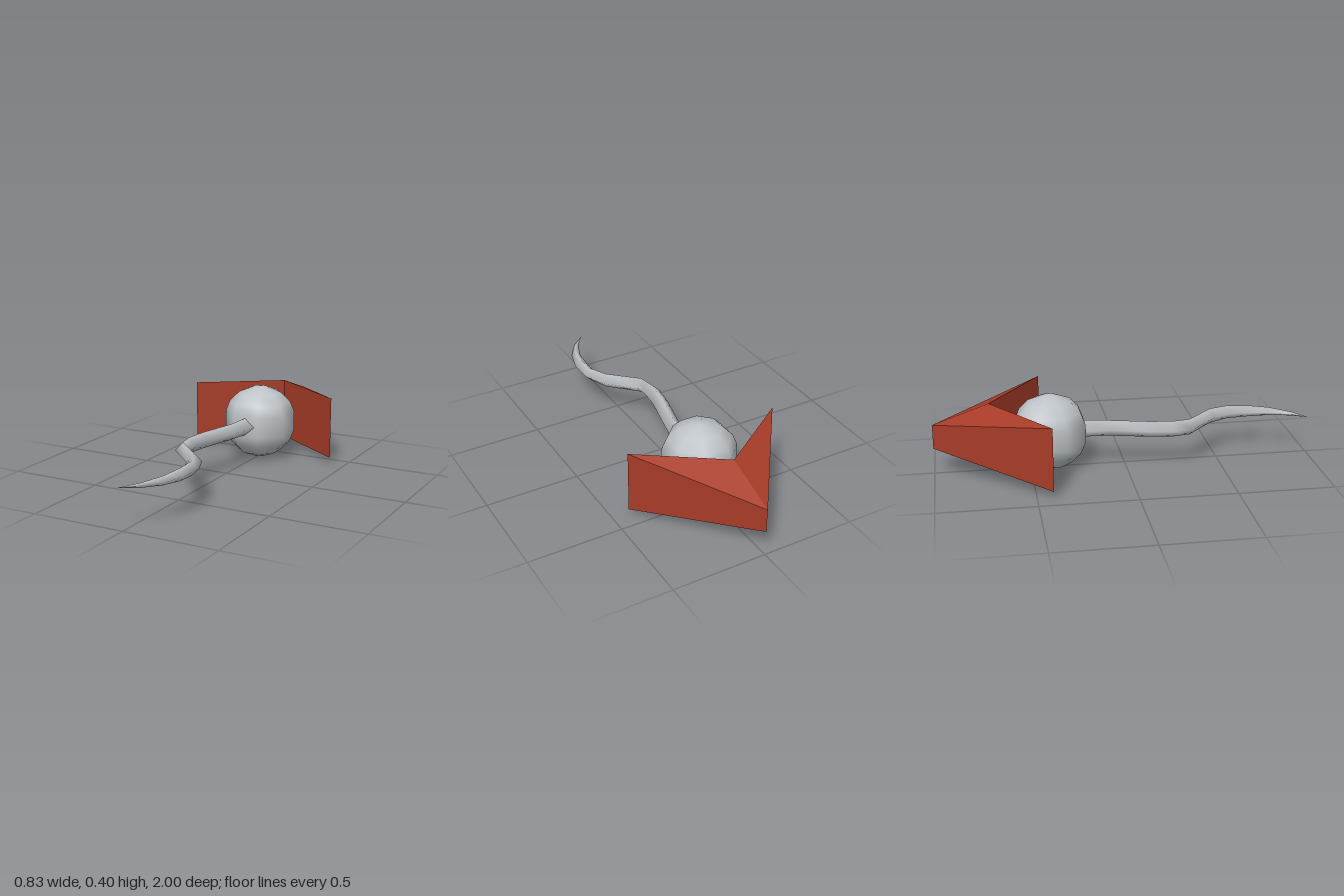
import * as THREE from 'three';

function indexedGeometry(positions, indices) {
  const g = new THREE.BufferGeometry();
  g.setAttribute('position', new THREE.Float32BufferAttribute(positions, 3));
  g.setIndex(indices);
  g.computeVertexNormals();
  return g;
}

// Eight-sided rounded head
function headGeometry() {
  const profile = [
    [0, 0.002], [0.039, 0.006], [0.115, 0.036], [0.166, 0.088], [0.19, 0.148],
    [0.191, 0.258], [0.167, 0.315], [0.116, 0.366], [0.039, 0.397], [0, 0.402],
  ].map(([r, y]) => new THREE.Vector2(r, y));
  return new THREE.LatheGeometry(profile, 8).rotateY(Math.PI / 8).translate(0, 0, -0.393);
}

// Tapering tail with a diamond section; each ring: left x, z, right x, z, half height
function tailGeometry() {
  const rings = [
    [-0.08, -0.3, 0.08, -0.3, 0.055],
    [-0.058, -0.215, 0.052, -0.215, 0.047],
    [-0.06, -0.09, 0.02, -0.075, 0.043],
    [-0.11, 0.11, -0.03, 0.14, 0.043],
    [-0.13, 0.245, -0.04, 0.245, 0.043],
    [-0.105, 0.355, -0.03, 0.32, 0.043],
    [0.05, 0.505, 0.11, 0.455, 0.041],
    [0.09, 0.6, 0.16, 0.57, 0.037],
    [0.09, 0.69, 0.16, 0.7, 0.032],
    [0.08, 0.8, 0.127, 0.82, 0.023],
    [0.04, 0.91, 0.06, 0.925, 0.012],
    [-0.025, 1, -0.025, 1, 0],
  ];
  const y = 0.207, pos = [], idx = [];
  rings.forEach(([lx, lz, rx, rz, h], i) => {
    const cx = (lx + rx) / 2, cz = (lz + rz) / 2;
    pos.push(lx, y, lz, cx, y + h, cz, rx, y, rz, cx, y - h, cz);
    if (i === 0) return;
    for (let j = 0; j < 4; j++) {
      const a = (i - 1) * 4 + j, b = (i - 1) * 4 + (j + 1) % 4;
      idx.push(a, a + 4, b, b, a + 4, b + 4);
    }
  });
  return indexedGeometry(pos, idx);
}

// Chevron shield, thinner at its rear point
function shieldGeometry() {
  const outline = [[-0.417, -0.417], [0, -0.707], [0.417, -0.417], [0, -1]];
  const bottom = [0.037, 0.037, 0.037, 0.139], top = [0.37, 0.37, 0.37, 0.268];
  const pos = [], idx = [];
  for (const level of [bottom, top]) outline.forEach(([x, z], i) => pos.push(x, level[i], z));
  for (let i = 0; i < 4; i++) {
    const j = (i + 1) % 4;
    idx.push(i, j, j + 4, i, j + 4, i + 4);
  }
  idx.push(4, 5, 7, 5, 6, 7, 0, 3, 1, 1, 3, 2);
  const g = indexedGeometry(pos, idx).toNonIndexed();
  g.computeVertexNormals();
  return g;
}

export function createModel() {
  const grey = new THREE.MeshStandardMaterial({ color: 0xbec3c7 });
  grey.name = 'pale grey';
  const red = new THREE.MeshStandardMaterial({ color: 0xa83c28 });
  red.name = 'rust red';

  const model = new THREE.Group();
  const add = (name, geometry, material) => {
    const mesh = new THREE.Mesh(geometry, material);
    mesh.name = name;
    model.add(mesh);
  };
  add('head', headGeometry(), grey);
  add('tail', tailGeometry(), grey);
  add('chevronShield', shieldGeometry(), red);
  return model;
}
